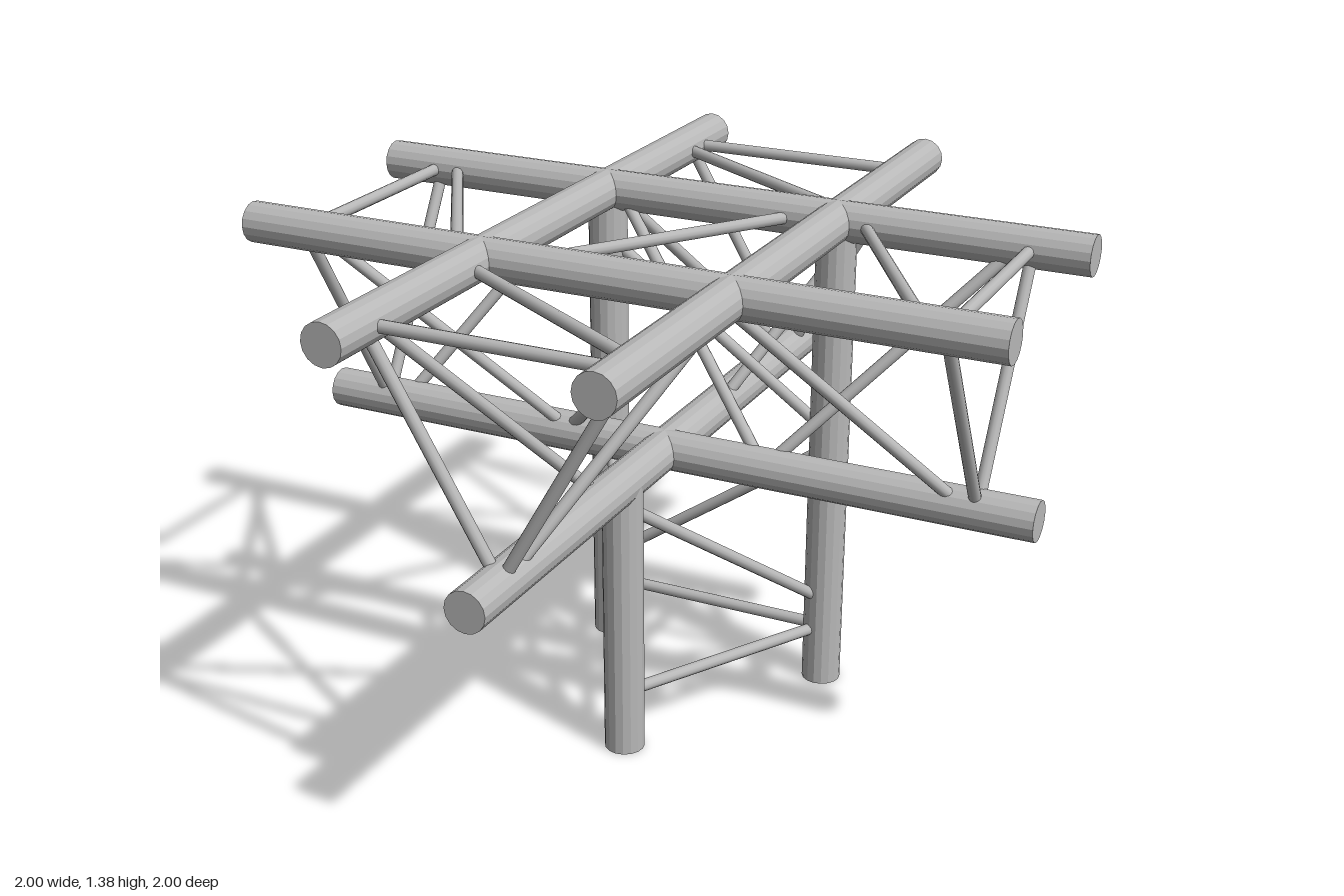
import * as THREE from 'three';

const R = 0.053;      // main tube radius
const r = 0.016;      // brace radius
const W = 0.33;       // half width of the truss
const TOP = 1.332;    // height of the upper chords
const LOW = 0.762;    // height of the lower chords

export function createModel() {
  const model = new THREE.Group();
  model.name = 'trussCorner';
  const metal = new THREE.MeshStandardMaterial({ color: 0xb8b8b8, flatShading: true });
  metal.name = 'aluminium grey';
  const smooth = new THREE.MeshStandardMaterial({ color: 0xb8b8b8 });
  smooth.name = 'brace grey';

  // A round bar between two points
  function bar(name, a, b, radius = r) {
    const p = new THREE.Vector3(...a), q = new THREE.Vector3(...b);
    const dir = q.clone().sub(p);
    const main = radius === R;
    const geo = new THREE.CylinderGeometry(radius, radius, dir.length(), main ? 16 : 12);
    const mesh = new THREE.Mesh(geo, main ? metal : smooth);
    mesh.position.copy(p).add(q).multiplyScalar(0.5);
    mesh.quaternion.setFromUnitVectors(new THREE.Vector3(0, 1, 0), dir.normalize());
    mesh.name = name;
    model.add(mesh);
  }

  // Point on a chord: t along the axis, s across (-1, 1 upper chords, 0 lower chord)
  const onX = (t, s) => [t, s ? TOP : LOW, s * W];
  const onZ = (t, s) => [s * W, s ? TOP : LOW, t];

  // Horizontal chords, three in each direction, with end crossbars on all faces
  for (const [axis, at] of [['X', onX], ['Z', onZ]]) {
    for (const s of [-1, 0, 1]) bar('chord' + axis, at(-1, s), at(1, s), R);
    for (const t of [-0.845, 0.845]) {
      bar('topCrossbar', at(t, -1), at(t, 1));
      for (const s of [-1, 1]) bar('sideCrossbar', at(t, s), at(t, 0));
    }
  }

  // Diagonals: [t0, s0, t1, s1]
  const diagonalsX = [
    [-0.80, -1, -0.40, 1], [0.40, -1, 0.80, 1], [0.23, -1, -0.23, 1],   // top face
    [-0.81, 1, -0.27, 0], [0.28, 1, 0.81, 0], [0.29, 1, -0.29, 0],      // front face
    [-0.39, -1, -0.79, 0], [0.81, -1, 0.28, 0], [-0.29, -1, 0.28, 0],   // back face
  ];
  const diagonalsZ = [
    [0.40, -1, 0.80, 1], [-0.80, -1, -0.40, 1],                         // top face
    [0.33, 1, 0.81, 0], [-0.81, 1, -0.34, 0],                           // +x face
    [0.81, -1, 0.34, 0], [-0.34, -1, -0.81, 0],                         // -x face
  ];
  for (const [a, s, b, u] of diagonalsX) bar('diagonalX', onX(a, s), onX(b, u));
  for (const [a, s, b, u] of diagonalsZ) bar('diagonalZ', onZ(a, s), onZ(b, u));

  // Legs: two tall at the back, one shorter at the front
  const A = y => [-W, y, -W], B = y => [W, y, -W], C = y => [0, y, 0.24];
  bar('backLeg', A(0), A(TOP), R);
  bar('backLeg', B(0), B(TOP), R);
  bar('frontLeg', C(0), C(LOW), R);

  // Leg bracing
  for (const [p, q] of [[A, B], [B, C], [C, A]]) bar('legCrossbar', p(0.16), q(0.16));
  bar('legDiagonal', A(0.70), C(0.24));
  bar('legDiagonal', C(0.70), B(0.24));
  bar('legDiagonal', A(0.24), B(0.70));
  bar('legDiagonal', B(0.74), A(1.20));

  return model;
}
